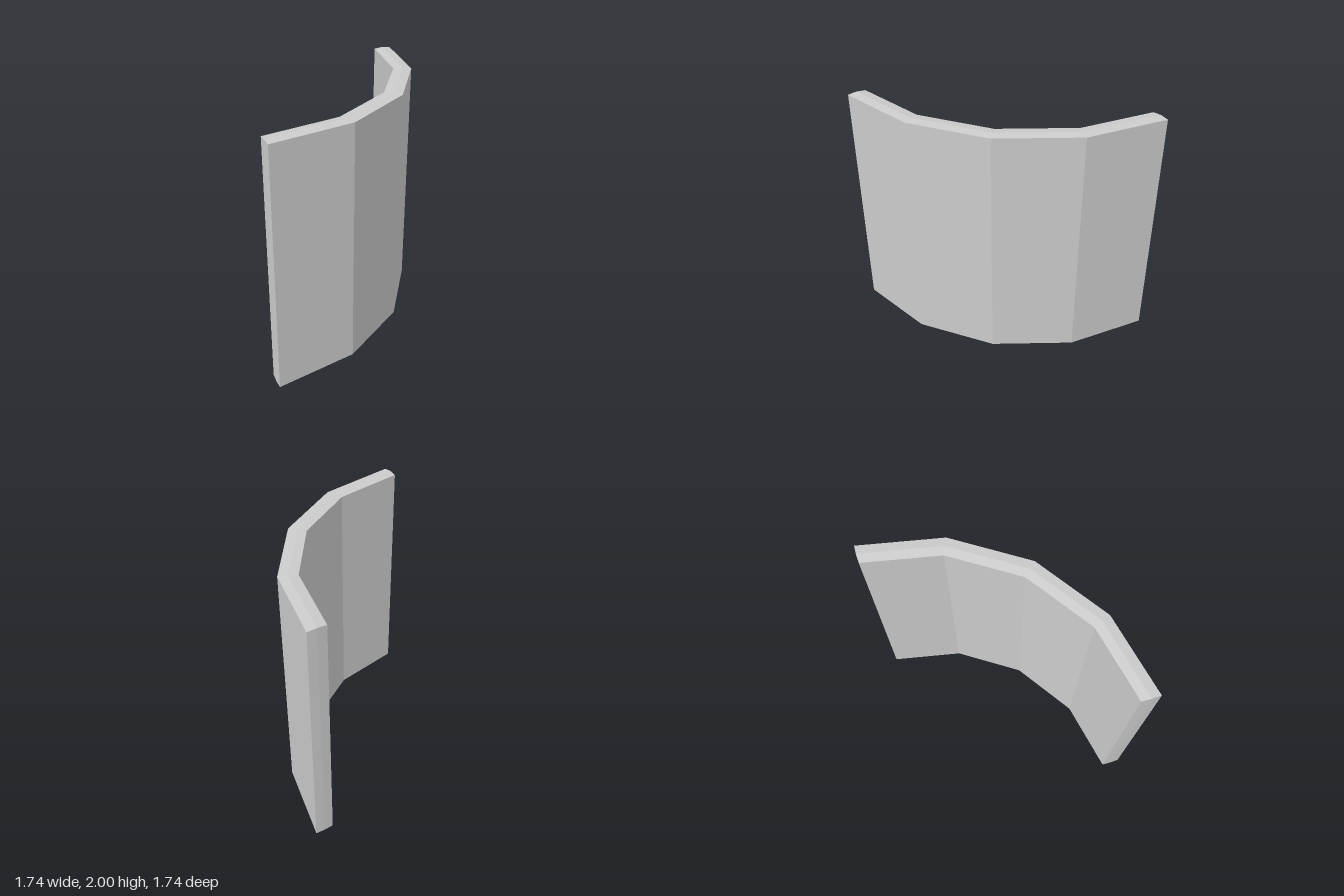
import * as THREE from 'three';

// Quarter-circle wall panel: four flat segments, faintly ridged along its rim
const SEGMENTS = 4;
const CENTRE = -0.868;
const OUTER = 1.736, INNER = 1.587, MID = (OUTER + INNER) / 2;
const END_RIDGE = 0.003;

// cross-section as [radius, height], walked up the outside and down the inside
const SECTION = [
  [OUTER, 0.002], [OUTER, 1.993], [MID, 2],
  [INNER, 1.993], [INNER, 0.002], [MID, 0],
];

function wallGeometry() {
  const n = SECTION.length;
  const positions = [], index = [];
  const quad = (a, b, c, d) => index.push(a, b, c, a, c, d);

  for (let i = 0; i <= SEGMENTS; i++) {
    const t = (i / SEGMENTS) * Math.PI / 2;
    // the middle line of each end stands out very slightly
    const push = i === 0 ? -END_RIDGE : i === SEGMENTS ? END_RIDGE : 0;
    for (const [r, y] of SECTION) {
      const p = r === MID ? push : 0;
      positions.push(
        CENTRE + r * Math.cos(t) - p * Math.sin(t), y,
        CENTRE + r * Math.sin(t) + p * Math.cos(t));
    }
  }
  // outer face, rim, inner face and underside
  for (let i = 0; i < SEGMENTS; i++) {
    for (let j = 0; j < n; j++) {
      const k = (j + 1) % n, a = i * n, b = a + n;
      quad(a + j, a + k, b + k, b + j);
    }
  }
  // the two ends, each in two halves
  const e = SEGMENTS * n;
  quad(5, 2, 1, 0);
  quad(5, 4, 3, 2);
  quad(e, e + 1, e + 2, e + 5);
  quad(e + 2, e + 3, e + 4, e + 5);

  const indexed = new THREE.BufferGeometry();
  indexed.setAttribute('position', new THREE.Float32BufferAttribute(positions, 3));
  indexed.setIndex(index);
  const geometry = indexed.toNonIndexed();
  geometry.computeVertexNormals();
  return geometry;
}

export function createModel() {
  const model = new THREE.Group();
  model.name = 'curvedWallPanel';
  const material = new THREE.MeshStandardMaterial({ color: 0xcccccc, flatShading: true });
  const wall = new THREE.Mesh(wallGeometry(), material);
  wall.name = 'curvedWall';
  model.add(wall);
  return model;
}
